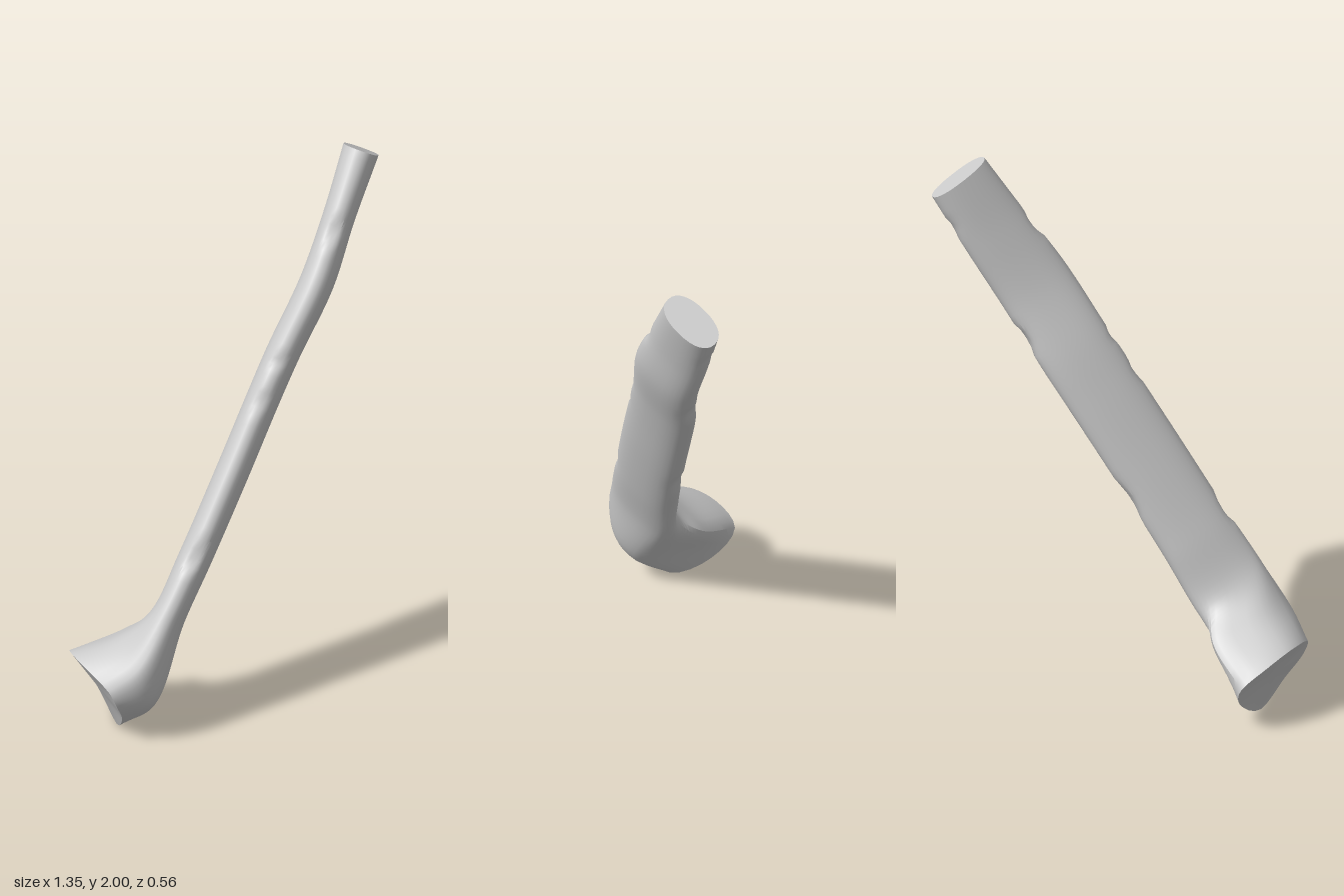
import * as THREE from 'three';
import { toCreasedNormals } from 'three/addons/utils/BufferGeometryUtils.js';

const COLS = 32, ROWS = 72;
// local frame of the leaning shaft: s runs along it, n across it, z stays z
const toWorld = ([s, n, z]) =>
  new THREE.Vector3(0.536 * s - 0.844 * n, 0.844 * s + 0.536 * n, z);

// hooked foot: the cut rim, then the bend, eight points [s, n, z] around each
const rim = [
  [-0.17, 0.697, 0.04], [-0.212, 0.644, 0.06], [-0.247, 0.55, 0.035], [-0.28, 0.44, -0.05],
  [-0.18, 0.432, -0.19], [-0.1, 0.5, -0.28], [-0.09, 0.607, -0.235], [-0.107, 0.69, -0.13],
];
const bend = [
  [-0.06, 0.69, 0.12], [-0.12, 0.62, 0.145], [-0.16, 0.53, 0.13], [-0.16, 0.455, 0.07],
  [-0.05, 0.438, -0.06], [0.05, 0.455, -0.125], [0.04, 0.56, -0.085], [0.01, 0.66, -0.01],
];
// shaft stations: s, centre n, centre z, long radius, short radius
const stations = [
  [0.15, 0.556, 0.075, 0.148, 0.063], [0.38, 0.555, 0.1, 0.141, 0.06],
  [0.71, 0.555, 0.125, 0.14, 0.06], [1.0, 0.554, 0.142, 0.14, 0.06],
  [1.18, 0.552, 0.155, 0.14, 0.061], [1.45, 0.549, 0.186, 0.138, 0.062],
  [1.7, 0.546, 0.178, 0.128, 0.058], [1.95, 0.546, 0.17, 0.117, 0.066],
];
const TILT = 0.56; // the long axis of the oval leans from n towards z

// slightly squared oval
const blunt = (t) => Math.sign(t) * Math.abs(t) ** 0.87;

function shaftRing([s, n, z, p, q]) {
  return Array.from({ length: COLS }, (_, j) => {
    const a = (j / COLS) * Math.PI * 2;
    const u = p * blunt(Math.cos(a)), v = q * blunt(Math.sin(a));
    return toWorld([s, n + u * Math.cos(TILT) - v * Math.sin(TILT),
      z + u * Math.sin(TILT) + v * Math.cos(TILT)]);
  });
}

function footRing(points) {
  const loop = new THREE.CatmullRomCurve3(points.map(toWorld), true, 'centripetal');
  return Array.from({ length: COLS }, (_, j) => loop.getPoint(j / COLS));
}

// uneven bites along a narrow edge, as a share of the distance to the centre
const bite = (i, phase) =>
  0.09 * Math.max(0, Math.sin(i * 0.83 + phase) + Math.sin(i * 0.31 + 2 * phase) - 0.7);

function limbGeometry() {
  const rings = [footRing(rim), footRing(bend), ...stations.map(shaftRing)];
  const columns = Array.from({ length: COLS }, (_, j) =>
    new THREE.CatmullRomCurve3(rings.map((r) => r[j]), false, 'centripetal'));
  const grid = [];
  for (let i = 0; i <= ROWS; i++) {
    const row = columns.map((c) => c.getPoint(i / ROWS));
    const centre = row.reduce((sum, p) => sum.add(p), new THREE.Vector3()).divideScalar(COLS);
    // ragged chips along the two narrow edges of the shaft
    const worn = i > ROWS * 0.26 && i < ROWS * 0.95;
    row.forEach((p, j) => {
      const c = Math.cos((j / COLS) * Math.PI * 2);
      if (worn) p.lerp(centre, c ** 10 * bite(i, c > 0 ? 0.4 : 2.3));
    });
    grid.push({ row, centre });
  }

  const pos = [], index = [];
  const add = (p) => pos.push(p.x, p.y, p.z) / 3 - 1;
  const ids = grid.map(({ row }) => row.map(add));
  const foot = add(grid[0].centre), top = add(grid[ROWS].centre);
  for (let j = 0; j < COLS; j++) {
    const k = (j + 1) % COLS;
    for (let i = 0; i < ROWS; i++) {
      const a = ids[i][j], b = ids[i][k], c = ids[i + 1][k], d = ids[i + 1][j];
      index.push(a, b, c, a, c, d);
    }
    // flat cut ends
    index.push(foot, ids[0][k], ids[0][j], top, ids[ROWS][j], ids[ROWS][k]);
  }
  const geo = new THREE.BufferGeometry();
  geo.setAttribute('position', new THREE.Float32BufferAttribute(pos, 3));
  geo.setIndex(index);

  // stand on the ground, centred
  geo.computeBoundingBox();
  const { min, max } = geo.boundingBox;
  geo.translate(-(min.x + max.x) / 2, -min.y, -(min.z + max.z) / 2);
  return toCreasedNormals(geo, 0.6);
}

export function createModel() {
  const group = new THREE.Group();
  group.name = 'hookedStick';
  const stick = new THREE.Mesh(limbGeometry(), new THREE.MeshStandardMaterial({ color: 0xcccccc }));
  stick.name = 'shaftAndFoot';
  group.add(stick);
  return group;
}
